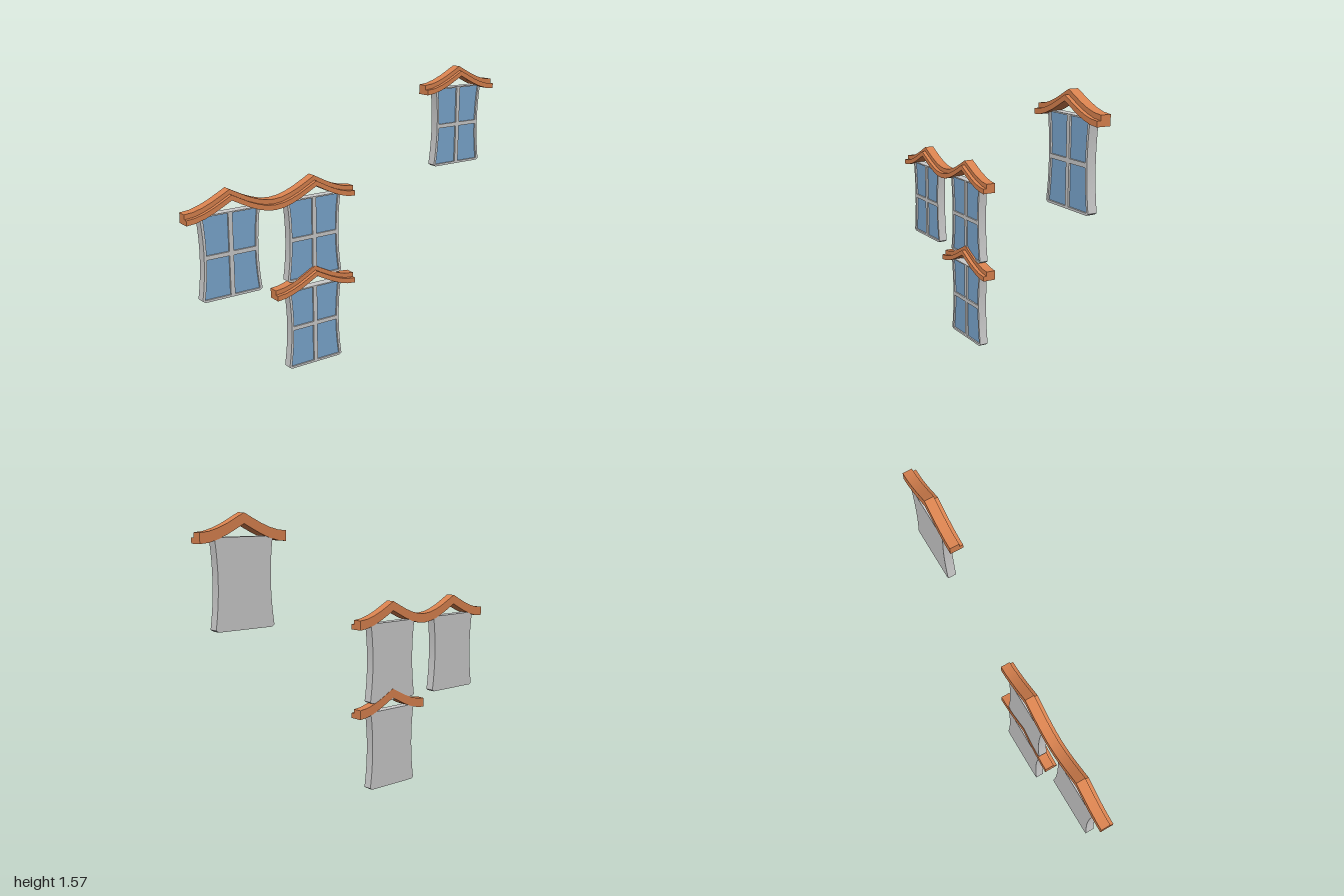
import * as THREE from 'three';
import { toCreasedNormals } from 'three/addons/utils/BufferGeometryUtils.js';

const grey = new THREE.MeshStandardMaterial({ color: 0xcccccc });
const orange = new THREE.MeshStandardMaterial({ color: 0xd9824f });
const blue = new THREE.MeshStandardMaterial({ color: 0x7ba7cf });

const TOP = 0.45;
const BACK = -0.034;
const FRONT = 0.015;

// Half width of a window: waisted in the middle, flared at top and bottom
const halfWidth = (y) => 0.154 + 0.015 * Math.pow((y - 0.24) / 0.21, 2);

function extruded(name, shape, z0, z1, material) {
  const geo = new THREE.ExtrudeGeometry(shape, { depth: z1 - z0, bevelEnabled: false });
  geo.translate(0, 0, z0);
  const mesh = new THREE.Mesh(toCreasedNormals(geo, 0.4), material);
  mesh.name = name;
  return mesh;
}

// Outline of the window with small cut corners at the bottom
function outlinePoints() {
  const right = [new THREE.Vector2(0.157, 0)];
  for (let i = 0; i <= 8; i++) {
    const y = 0.01 + (TOP - 0.01) * i / 8;
    right.push(new THREE.Vector2(halfWidth(y), y));
  }
  const left = right.map((p) => new THREE.Vector2(-p.x, p.y)).reverse();
  return [...right, ...left];
}

// One pane with a curved outer edge
function panePoints(side, y0, y1) {
  const pts = [new THREE.Vector2(side * 0.012, y1), new THREE.Vector2(side * 0.012, y0)];
  for (let i = 0; i <= 5; i++) {
    const y = y0 + (y1 - y0) * i / 5;
    pts.push(new THREE.Vector2(side * (halfWidth(y) - 0.014), y));
  }
  return pts;
}

function makeWindow(x, y) {
  const group = new THREE.Group();
  group.name = 'window';
  const frame = new THREE.Shape(outlinePoints());
  for (const side of [-1, 1]) {
    for (const [y0, y1] of [[0.012, 0.221], [0.243, 0.443]]) {
      const pts = panePoints(side, y0, y1);
      frame.holes.push(new THREE.Path(pts));
      group.add(extruded('glassPane', new THREE.Shape(pts), 0.002, 0.006, blue));
    }
  }
  group.add(extruded('windowBody', new THREE.Shape(outlinePoints()), BACK, 0.004, grey));
  group.add(extruded('windowFrame', frame, 0.004, FRONT, grey));
  group.position.set(x, y, 0);
  return group;
}

// Half of the roof's underside, from peak to eave, relative to the peak
const CURVE = [[0, 0.512], [0.05, 0.486], [0.1, 0.461], [0.15, 0.441], [0.2, 0.427], [0.25, 0.422]];

// Roof band over a run of bays, between two heights above the underside
function roofBand(bays, low, high) {
  const line = [];
  for (let b = 0; b < bays; b++) {
    const left = CURVE.slice().reverse().map(([x, y]) => [b * 0.5 - x, y]);
    const right = CURVE.slice(1).map(([x, y]) => [b * 0.5 + x, y]);
    line.push(...(b > 0 ? left.slice(1) : left), ...right);
  }
  const bottom = line.map(([x, y]) => new THREE.Vector2(x, y + low));
  const top = line.map(([x, y]) => new THREE.Vector2(x, y + high)).reverse();
  return new THREE.Shape([...bottom, ...top]);
}

function makeRoof(x, y, bays) {
  const group = new THREE.Group();
  group.name = 'roof';
  group.add(extruded('roofBeam', roofBand(bays, 0, 0.053), -0.036, 0.017, orange));
  group.add(extruded('roofTrim', roofBand(bays, 0, 0.028), 0.017, 0.038, orange));
  group.position.set(x, y, 0);
  return group;
}

export function createModel() {
  const model = new THREE.Group();
  model.name = 'windowsWithRoofs';
  for (const [x, y] of [[-0.75, 0.5], [-0.25, 0.5], [-0.25, 0], [0.75, 1]]) {
    model.add(makeWindow(x, y));
  }
  // Double roof over the neighbouring pair, single roofs elsewhere
  model.add(makeRoof(-0.75, 0.5, 2), makeRoof(-0.25, 0, 1), makeRoof(0.75, 1, 1));
  return model;
}
